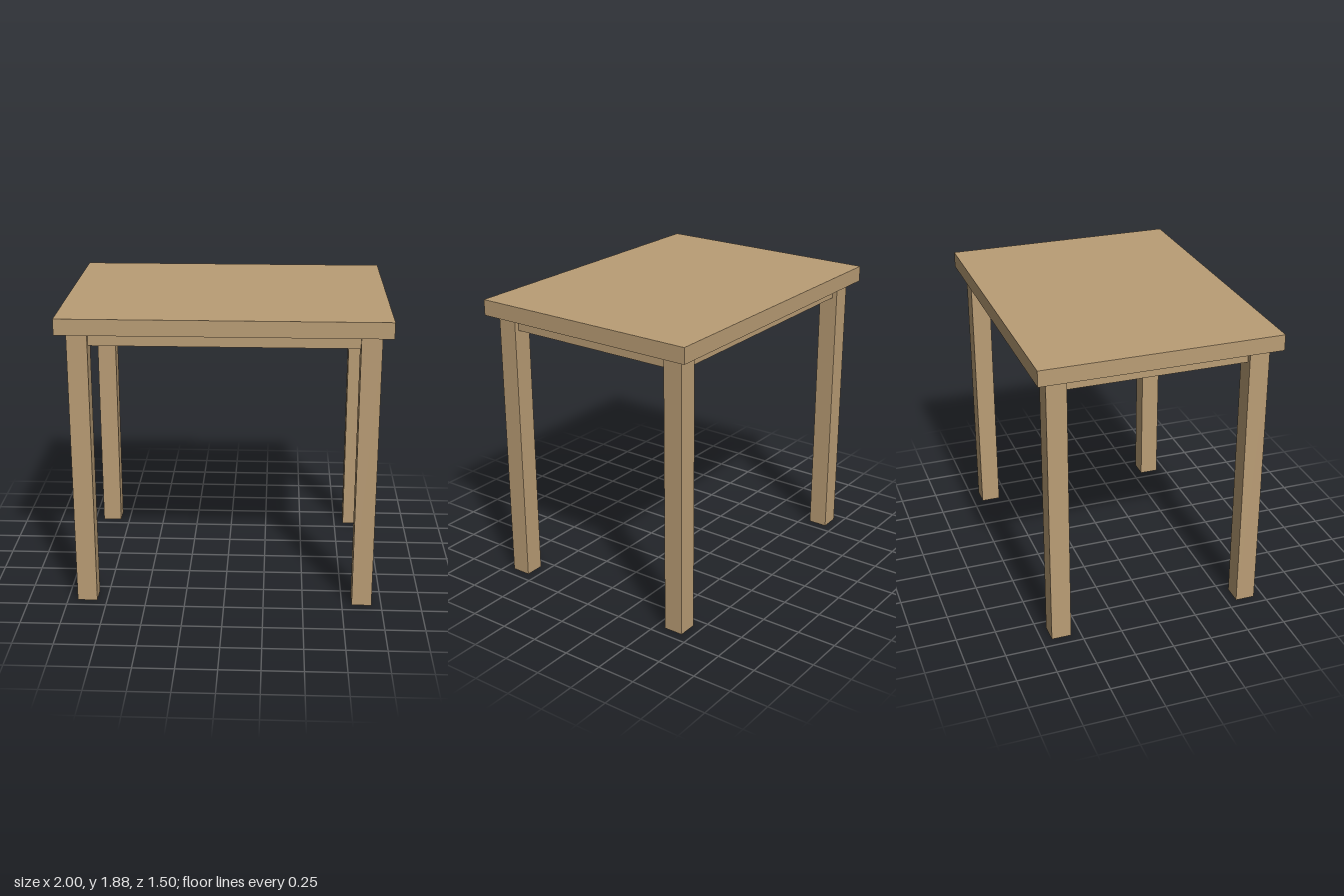
import * as THREE from 'three';

export function createModel() {
  const table = new THREE.Group();
  table.name = 'table';
  const wood = new THREE.MeshStandardMaterial({ color: 0xba9d75 });
  wood.name = 'light wood';

  const addBox = (name, w, h, d, x, y, z) => {
    const mesh = new THREE.Mesh(new THREE.BoxGeometry(w, h, d), wood);
    mesh.name = name;
    mesh.position.set(x, y, z);
    table.add(mesh);
  };

  const under = 1.775; // underside of the table top
  const leg = 0.125;
  const legX = 0.875, legZ = 0.625;
  const railH = 0.0875, railT = 0.0625;
  const railY = under - railH / 2;

  addBox('tableTop', 2, 0.1, 1.5, 0, under + 0.05, 0);

  // Four square legs
  for (const [sx, side] of [[1, 'Left'], [-1, 'Right']]) {
    for (const [sz, end] of [[1, 'front'], [-1, 'back']]) {
      addBox(`${end}${side}Leg`, leg, under, leg, sx * legX, under / 2, sz * legZ);
    }
  }

  // Apron rails, centred on the legs and running between them
  for (const [s, longName, shortName] of [[1, 'frontApron', 'leftApron'], [-1, 'backApron', 'rightApron']]) {
    addBox(longName, 2 * legX - leg, railH, railT, 0, railY, s * legZ);
    addBox(shortName, railT, railH, 2 * legZ - leg, s * legX, railY, 0);
  }

  return table;
}
